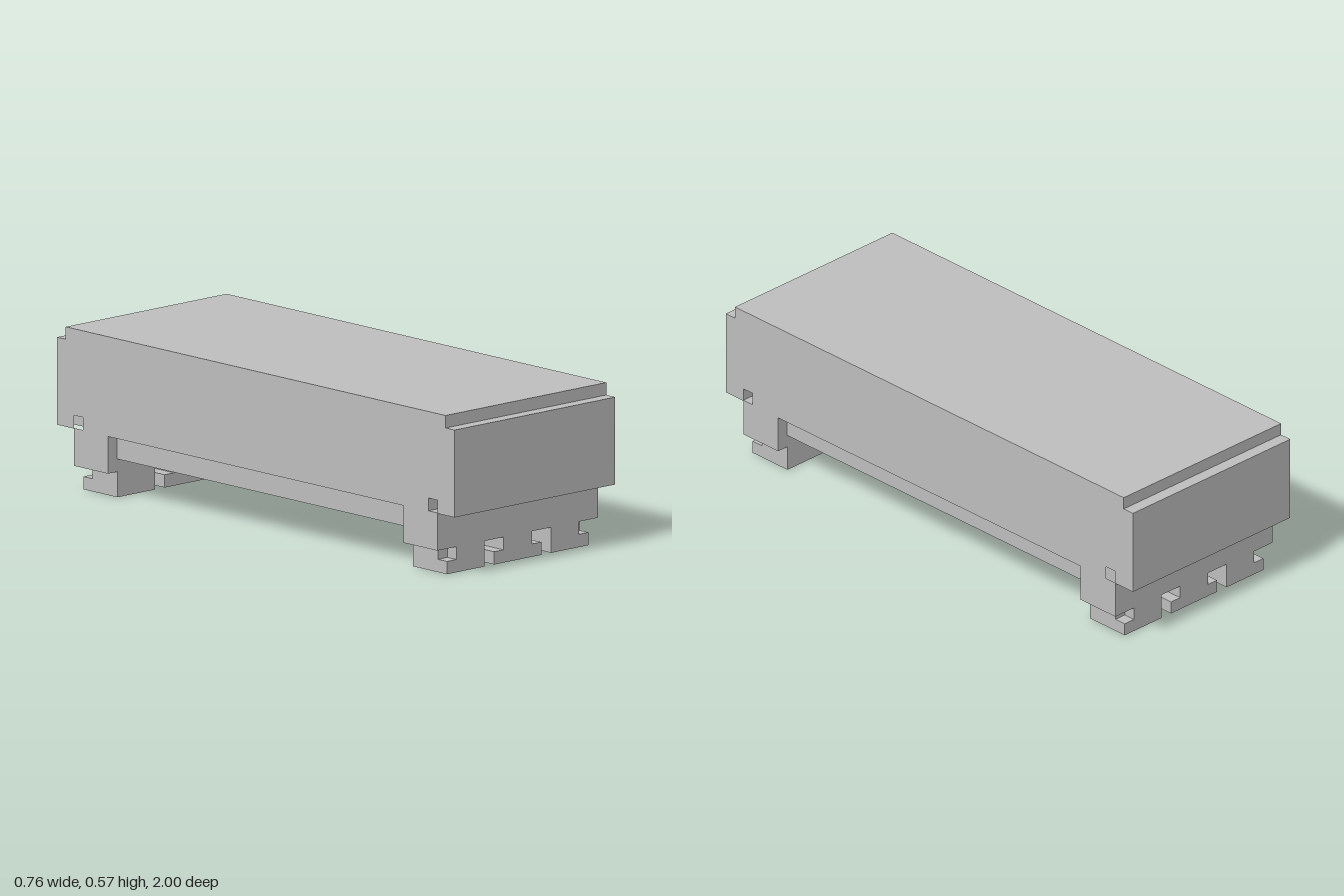
import * as THREE from 'three';

const HALF_W = 0.379;               // half width of the body
const POCKET = 0.045;               // depth of the small pockets and notches
const LEG_IN = 0.743, LEG_OUT = 0.914;
const LEG_Y = 0.09, BODY_Y = 0.221, RIB_Y = 0.135;

const grey = new THREE.MeshStandardMaterial({ color: 0xbfbfbf });
grey.name = 'plainGrey';

export function createModel() {
  const model = new THREE.Group();
  model.name = 'block';

  const add = (name, geometry, parent = model) => {
    const mesh = new THREE.Mesh(geometry, grey);
    mesh.name = name;
    parent.add(mesh);
    return mesh;
  };
  // Box given by its limits on each axis
  const box = (name, x0, x1, y0, y1, z0, z1, parent) =>
    add(name, new THREE.BoxGeometry(x1 - x0, y1 - y0, z1 - z0), parent)
      .position.set((x0 + x1) / 2, (y0 + y1) / 2, (z0 + z1) / 2);

  // Side outline (z, y): stepped top, slab and two legs
  const half = [
    [0.955, 0.573], [0.955, 0.529], [1, 0.529], [1, BODY_Y],
    [LEG_OUT, BODY_Y], [LEG_OUT, LEG_Y], [LEG_IN, LEG_Y], [LEG_IN, BODY_Y],
  ];
  const outline = [...half, ...half.map(([z, y]) => [-z, y]).reverse()]
    .map(([z, y]) => new THREE.Vector2(z, y));

  // Extrudes the side outline across x, from x0 to x1
  const slab = (name, x0, x1, pockets) => {
    const shape = new THREE.Shape(outline);
    if (pockets) {
      for (const s of [1, -1]) {
        const a = s * (LEG_OUT - POCKET), b = s * LEG_OUT;
        shape.holes.push(new THREE.Path([
          new THREE.Vector2(a, BODY_Y + 0.002), new THREE.Vector2(b, BODY_Y + 0.002),
          new THREE.Vector2(b, 0.268), new THREE.Vector2(a, 0.268),
        ]));
      }
    }
    const g = new THREE.ExtrudeGeometry(shape, { depth: x1 - x0, bevelEnabled: false });
    g.rotateY(-Math.PI / 2).translate(x1, 0, 0);
    add(name, g);
  };
  slab('bodyCore', -HALF_W + POCKET, HALF_W - POCKET, false);
  slab('leftCheek', HALF_W - POCKET, HALF_W, true);
  slab('rightCheek', -HALF_W, -HALF_W + POCKET, true);

  // Three ribs running under the body between the legs
  for (const x of [-0.268, 0, 0.268]) {
    box('rib', x - 0.067, x + 0.067, RIB_Y, BODY_Y, -LEG_IN, LEG_IN);
  }

  // Feet under each leg
  const mid = 0.045, notchZ = LEG_OUT - POCKET;
  for (const s of [1, -1]) {
    const feet = new THREE.Group();
    feet.name = s > 0 ? 'frontFeet' : 'backFeet';
    model.add(feet);
    const span = (a, b) => (s > 0 ? [a, b] : [-b, -a]);
    const full = span(LEG_IN, LEG_OUT);

    // Centre foot with a narrow neck
    box('centreFoot', -0.111, 0.111, 0, mid, ...full, feet);
    box('centreNeck', -0.067, 0.067, mid, LEG_Y, ...full, feet);

    // Outer feet, notched at the outer corner
    for (const side of [1, -1]) {
      const across = (a, b) => (side > 0 ? [a, b] : [-b, -a]);
      box('outerFoot', ...across(0.157, 0.334), 0, mid, ...full, feet);
      box('outerNeck', ...across(0.157, 0.289), mid, LEG_Y, ...full, feet);
      box('outerNeckSide', ...across(0.289, 0.334), mid, LEG_Y, ...span(LEG_IN, notchZ), feet);
    }
  }
  return model;
}
